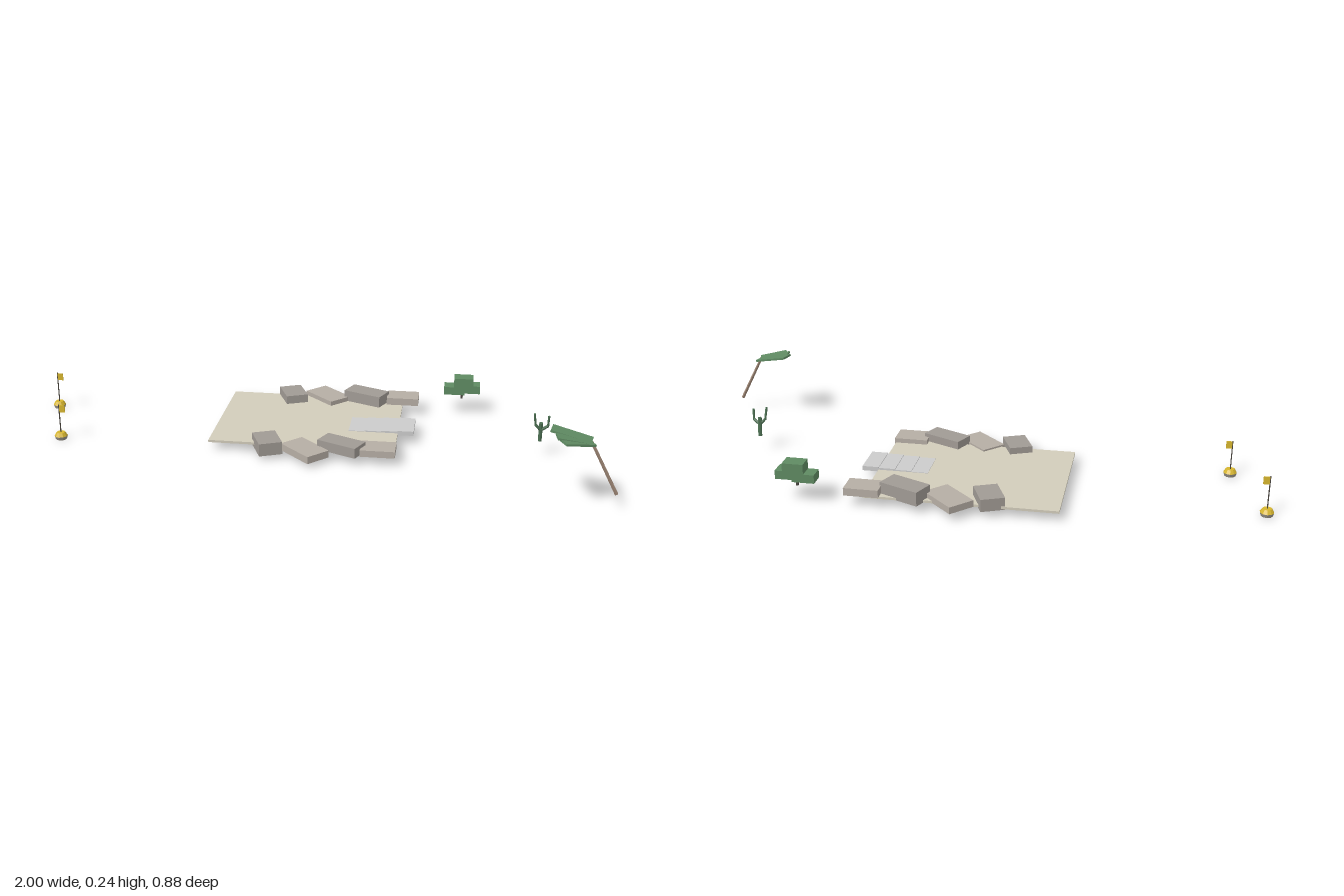
import * as THREE from 'three';

const mat = (color) => new THREE.MeshStandardMaterial({ color, flatShading: true });
const SAND = mat(0xd2ccba), ROCK = mat(0xa09a94), PALE_ROCK = mat(0xb5ada4), STONE = mat(0xbcbcbc);
const LEAF = mat(0x5f8a62), CACTUS = mat(0x4f7355), WOOD = mat(0x9c8574), DARK = mat(0x4a453f);
const YELLOW = mat(0xd6b52e), GREY = mat(0x9a9488);

function add(parent, name, geometry, material, x = 0, y = 0, z = 0) {
  const mesh = new THREE.Mesh(geometry, material);
  mesh.name = name;
  mesh.position.set(x, y, z);
  parent.add(mesh);
  return mesh;
}

// Box given by its centre in x and z and its bottom and top in y
function slab(parent, name, material, x, z, w, d, y0, y1, turn = 0) {
  const mesh = add(parent, name, new THREE.BoxGeometry(w, y1 - y0, d), material, x, (y0 + y1) / 2, z);
  mesh.rotation.y = turn;
  return mesh;
}

// Straight rod between two points
function rod(parent, name, material, from, to, r0, r1 = r0, sides = 6) {
  const a = new THREE.Vector3(...from), b = new THREE.Vector3(...to);
  const dir = b.clone().sub(a);
  const mesh = add(parent, name, new THREE.CylinderGeometry(r1, r0, dir.length(), sides), material);
  mesh.position.copy(a).add(b).multiplyScalar(0.5);
  mesh.quaternion.setFromUnitVectors(new THREE.Vector3(0, 1, 0), dir.normalize());
  return mesh;
}

function makeGroup(parent, name, x = 0, y = 0, z = 0) {
  const group = new THREE.Group();
  group.name = name;
  group.position.set(x, y, z);
  parent.add(group);
  return group;
}

// Floating marker with a mast and a pennant
function buoy(parent, x, z, height) {
  const g = makeGroup(parent, 'buoy', x, 0, z);
  add(g, 'buoyBase', new THREE.CylinderGeometry(0.023, 0.019, 0.012, 10), GREY, 0, 0.006, 0);
  add(g, 'buoyFloat', new THREE.CylinderGeometry(0.015, 0.023, 0.013, 10), YELLOW, 0, 0.0185, 0);
  rod(g, 'buoyMast', DARK, [0, 0.02, 0], [0, height, 0], 0.002);
  slab(g, 'buoyFlag', YELLOW, 0.011, 0, 0.02, 0.003, height - 0.028, height - 0.002);
}

export function createModel() {
  const model = new THREE.Group();
  model.name = 'cove';

  // Sand floor
  slab(model, 'sand', SAND, -0.018, -0.128, 0.637, 0.476, 0.027, 0.035);

  // Shallow stepped ramp
  const ramp = makeGroup(model, 'ramp');
  for (let i = 0; i < 4; i++) {
    const y = 0.021 + i * 0.0025;
    slab(ramp, 'rampStep', STONE, 0.158 + i * 0.0565, -0.099, 0.0565, 0.125, y, y + 0.0155);
  }

  // Rock walls: x, z, width, depth, bottom, top, turn
  const rocks = makeGroup(model, 'rocks');
  [
    [-0.107, -0.327, 0.08, 0.107, 0.023, 0.065, 0.4],
    [0.02, -0.35, 0.092, 0.147, 0.028, 0.051, 0.8],
    [0.165, -0.335, 0.146, 0.075, 0.027, 0.075, -0.41],
    [0.3, -0.342, 0.115, 0.08, 0.037, 0.063, 0],
    [-0.132, 0.113, 0.08, 0.107, 0.014, 0.058, 0.4],
    [0, 0.138, 0.09, 0.147, 0.016, 0.041, 0.8],
    [0.122, 0.12, 0.146, 0.072, 0.028, 0.063, -0.43],
    [0.246, 0.122, 0.117, 0.085, 0.028, 0.051, 0],
  ].forEach(([x, z, w, d, y0, y1, turn], i) =>
    slab(rocks, 'rock', i % 2 ? PALE_ROCK : ROCK, x, z, w, d, y0, y1, turn));

  // Buoys
  buoy(model, -0.976, -0.203, 0.136);
  buoy(model, -0.868, 0.088, 0.127);

  // Bush of three blocks on a short stem
  const bush = makeGroup(model, 'bush');
  slab(bush, 'bushStem', DARK, 0.515, -0.365, 0.008, 0.008, 0.053, 0.085);
  slab(bush, 'bushBlock', LEAF, 0.487, -0.365, 0.075, 0.052, 0.074, 0.103);
  slab(bush, 'bushBlock', LEAF, 0.545, -0.365, 0.07, 0.052, 0.081, 0.11);
  slab(bush, 'bushTop', LEAF, 0.52, -0.365, 0.07, 0.052, 0.1, 0.137);

  // Cactus with two bent arms
  const cactus = makeGroup(model, 'cactus');
  const fork = [0.781, 0.095, 0.012];
  rod(cactus, 'cactusTrunk', CACTUS, [0.781, 0.054, 0.006], [0.781, 0.122, 0.014], 0.007);
  [[0.763, 0.115, 0.018, 0.757, 0.158, 0.026], [0.804, 0.113, 0.017, 0.805, 0.15, 0.022]]
    .forEach(([ex, ey, ez, tx, ty, tz]) => {
      rod(cactus, 'cactusElbow', CACTUS, fork, [ex, ey, ez], 0.005);
      rod(cactus, 'cactusArm', CACTUS, [ex, ey - 0.003, ez], [tx, ty, tz], 0.004);
    });

  // Leaning palm with a fan of flat fronds
  const palm = makeGroup(model, 'palm');
  rod(palm, 'palmTrunk', WOOD, [0.993, 0.048, 0.382], [0.905, 0.216, 0.382], 0.006, 0.005);
  [[0.126, 0.05, -0.21, 0.2, 0.37], [0.11, 0.042, 0.12, 0.18, 0.385], [0.1, 0.042, 0.42, 0.14, 0.388]]
    .forEach(([length, width, yaw, tilt, z]) => {
      const frond = add(palm, 'palmFrond',
        new THREE.BoxGeometry(length, 0.007, width).translate(-length / 2, 0, 0), LEAF, 0.908, 0.214, z);
      frond.rotation.set(0, yaw, -tilt, 'YZX');
    });

  return model;
}
